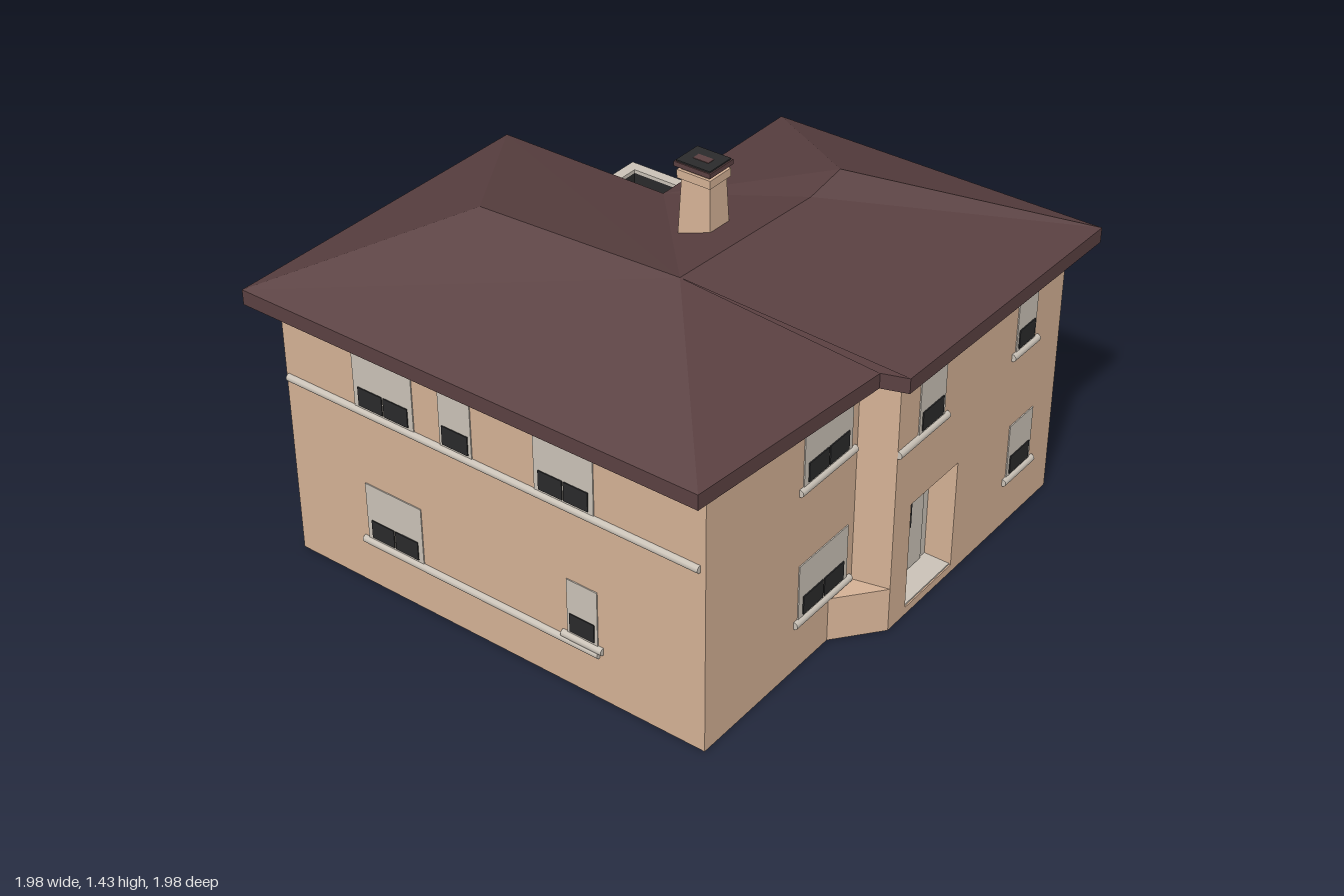
import * as THREE from 'three';

const mat = (name, color, double) => {
  const m = new THREE.MeshStandardMaterial({ color });
  m.name = name;
  if (double) m.side = THREE.DoubleSide;
  return m;
};

export function createModel() {
  const house = new THREE.Group();
  house.name = 'house';
  const wall = mat('peach render', 0xd4b195);
  const tile = mat('maroon roof', 0x5a4041);
  const trim = mat('pale stone', 0xcac2b7);
  const dark = mat('dark glass', 0x2a2a2b);

  const add = (name, geo, m, parent = house) => {
    const mesh = new THREE.Mesh(geo, m);
    mesh.name = name;
    parent.add(mesh);
    return mesh;
  };
  // Box given by its lower and upper limits
  const box = (name, m, x0, x1, y0, y1, z0, z1, parent) => {
    const mesh = add(name, new THREE.BoxGeometry(x1 - x0, y1 - y0, z1 - z0), m, parent);
    mesh.position.set((x0 + x1) / 2, (y0 + y1) / 2, (z0 + z1) / 2);
    return mesh;
  };
  // Upright prism from an outline of [x, z] points
  const prism = (name, m, pts, y0, y1) => {
    const shape = new THREE.Shape(pts.map(([x, z]) => new THREE.Vector2(x, -z)));
    const geo = new THREE.ExtrudeGeometry(shape, { depth: y1 - y0, bevelEnabled: false });
    geo.rotateX(-Math.PI / 2).translate(0, y0, 0);
    return add(name, geo, m);
  };

  // Walls in layers: plinth, storey with door recess, lintel, upper storey beside the terrace
  const W = 0.91, TX = 0.05, TZ = -0.21, F = 0.78;
  const left = [[-0.09, W], [-0.12, F], [-W, F], [-W, -W]];
  const doorNotch = [[0.29, W], [0.29, 0.8], [0.01, 0.8], [0.01, W]];
  const full = [[W, -W], [W, W], ...left];
  prism('plinth', wall, full, 0, 0.03);
  prism('groundFloorWalls', wall, [[W, -W], [W, W], ...doorNotch, ...left], 0.03, 0.45);
  prism('lintelWalls', wall, full, 0.45, 0.58);
  prism('upperWalls', wall, [[W, TZ], [W, W], ...left, [TX, -W], [TX, TZ]], 0.58, 0.98);
  prism('wallFootSplay', wall, [[-0.09, W], [-0.25, F], [-0.1, F]], 0, 0.17);

  // Front door in its recess
  box('door', trim, 0.012, 0.288, 0.031, 0.449, 0.8, 0.808);
  box('doorPanel', trim, 0.05, 0.25, 0.04, 0.42, 0.808, 0.815);
  box('doorGlass', dark, 0.12, 0.17, 0.22, 0.37, 0.815, 0.82);
  box('doorstep', trim, 0.012, 0.288, 0.03, 0.036, 0.8, 0.905);

  // Windows: pale blind, dark panes at the foot, rounded sill
  const faces = {
    front: (u, d) => [u, d, 0],
    back: (u, d) => [u, -d, Math.PI],
    left: (u, d) => [d, u, Math.PI / 2],
    right: (u, d) => [-d, u, -Math.PI / 2],
  };
  const onWall = (name, face, u, y, d) => {
    const g = new THREE.Group();
    const [x, z, r] = faces[face](u, d);
    g.name = name;
    g.position.set(x, y, z);
    g.rotation.y = r;
    house.add(g);
    return g;
  };
  const sill = (g, w, y) => {
    const s = add('sill', new THREE.CylinderGeometry(0.014, 0.014, w, 10), trim, g);
    s.rotation.z = Math.PI / 2;
    s.position.set(0, y, 0.002);
  };
  const windows = [
    // face, centre, width, bottom, top, wall distance
    ['front', -0.285, 0.26, 0.71, 0.9, F],
    ['front', 0.1, 0.15, 0.71, 0.93, W],
    ['front', 0.675, 0.12, 0.71, 0.93, W],
    ['front', -0.29, 0.27, 0.2, 0.41, F],
    ['front', 0.695, 0.15, 0.2, 0.41, W],
    ['left', 0.505, 0.15, 0.71, 0.93, W],
    ['left', 0.01, 0.13, 0.71, 0.93, W],
    ['left', 0.5, 0.15, 0.2, 0.41, W],
    ['left', -0.01, 0.12, 0.2, 0.41, W],
    ['left', -0.595, 0.23, 0.69, 0.93, TX],
    ['back', -0.11, 0.24, 0.7, 0.93, W],
    ['back', -0.68, 0.16, 0.71, 0.94, W],
    ['back', -0.155, 0.16, 0.19, 0.41, W],
    ['back', -0.68, 0.16, 0.19, 0.41, W],
    ['right', -0.48, 0.25, 0.71, 0.94, W],
    ['right', -0.18, 0.13, 0.71, 0.94, W],
    ['right', 0.25, 0.23, 0.71, 0.93, W],
    ['right', -0.47, 0.24, 0.19, 0.41, W],
    ['right', 0.31, 0.12, 0.21, 0.42, W],
  ];
  for (const [face, u, w, y0, y1, d] of windows) {
    const g = onWall('window', face, u, y0, d);
    box('blind', trim, -w / 2, w / 2, 0, y1 - y0, -0.004, 0.004, g);
    const n = w > 0.2 ? 2 : 1, pw = w * 0.86 / n;
    for (let i = 0; i < n; i++) {
      const c = (i - (n - 1) / 2) * pw;
      box('pane', dark, c - pw * 0.47, c + pw * 0.47, 0.01, 0.08, 0.003, 0.008, g);
    }
    sill(g, w + 0.04, -0.012);
  }

  // String courses along the right-hand wall and a long sill on the left
  sill(onWall('upperStringCourse', 'right', -0.07, 0.698, W), 1.66, 0);
  sill(onWall('lowerStringCourse', 'right', -0.1, 0.178, W), 0.95, 0);
  sill(onWall('lowSideSill', 'left', -0.085, 0.178, W), 0.26, 0);
  sill(onWall('entranceSill', 'front', 0.05, 0.698, W), 0.28, 0);

  // Terrace: floor, dark parapet, pale rail and foot moulding
  box('terraceFloor', trim, TX, 0.9, 0.578, 0.588, -0.9, TZ);
  box('sideParapet', dark, 0.88, 0.905, 0.58, 0.66, -0.905, TZ);
  box('backParapet', dark, TX, 0.88, 0.58, 0.66, -0.905, -0.88);
  box('sideRail', trim, 0.877, 0.92, 0.66, 0.674, -0.92, TZ);
  box('backRail', trim, TX, 0.877, 0.66, 0.674, -0.92, -0.877);
  sill(onWall('sideMoulding', 'left', -0.56, 0.566, W), 0.71, 0);
  sill(onWall('backMoulding', 'back', 0.34, 0.566, W), 1.15, 0);

  // Roof: eaves slab, then sloping faces over an L-shaped plan
  const eaves = [[-0.99, -0.99], [0.3, -0.99], [0.3, -0.3], [0.99, -0.3],
    [0.99, 0.99], [-0.14, 0.97], [-0.17, 0.88], [-0.99, 0.81]];
  prism('eaves', tile, eaves, 0.98, 1.035);
  const [a, b, c, d, e, f, g, h] = eaves.map(([x, z]) => [x, 1.035, z]);
  const P = [-0.44, 1.27, -0.46], Q = [-0.4, 1.27, 0.3], M = [0.25, 1.262, 0.33], R = [0.4, 1.3, 0.34];
  const slopes = [[a, P, b], [a, h, Q, P], [b, P, Q, c], [c, Q, M], [c, M, R, d],
    [d, R, e], [e, R, M, f], [f, M, Q], [f, Q, g], [g, Q, h]];
  const pos = [];
  for (const s of slopes)
    for (let i = 1; i < s.length - 1; i++) pos.push(...s[0], ...s[i], ...s[i + 1]);
  const roof = new THREE.BufferGeometry();
  roof.setAttribute('position', new THREE.Float32BufferAttribute(pos, 3));
  // Turn every face upward
  const p = roof.attributes.position;
  const v = [0, 1, 2].map(() => new THREE.Vector3());
  for (let i = 0; i < p.count; i += 3) {
    v.forEach((q, k) => q.fromBufferAttribute(p, i + k));
    const up = v[1].clone().sub(v[0]).cross(v[2].clone().sub(v[0])).y;
    if (up < 0) {
      p.setXYZ(i + 1, v[2].x, v[2].y, v[2].z);
      p.setXYZ(i + 2, v[1].x, v[1].y, v[1].z);
    }
  }
  roof.computeVertexNormals();
  add('roof', roof, tile);

  // Chimney: tapered stack, collar and cap
  const stack = new THREE.CylinderGeometry(0.062, 0.075, 0.26, 4, 1).toNonIndexed();
  stack.rotateY(Math.PI / 4).scale(1, 1, 1.25);
  stack.computeVertexNormals();
  add('chimneyStack', stack, wall).position.set(0.003, 1.25, 0.09);
  box('chimneyCollar', wall, -0.053, 0.057, 1.365, 1.395, 0.025, 0.155);
  box('chimneyNeck', wall, -0.043, 0.047, 1.395, 1.41, 0.035, 0.145);
  box('chimneyCap', tile, -0.06, 0.062, 1.408, 1.425, 0.018, 0.16);
  box('chimneyMouth', dark, -0.055, 0.057, 1.425, 1.43, 0.023, 0.155);
  box('chimneyFlue', tile, -0.015, 0.015, 1.43, 1.432, 0.06, 0.12);
  return house;
}
